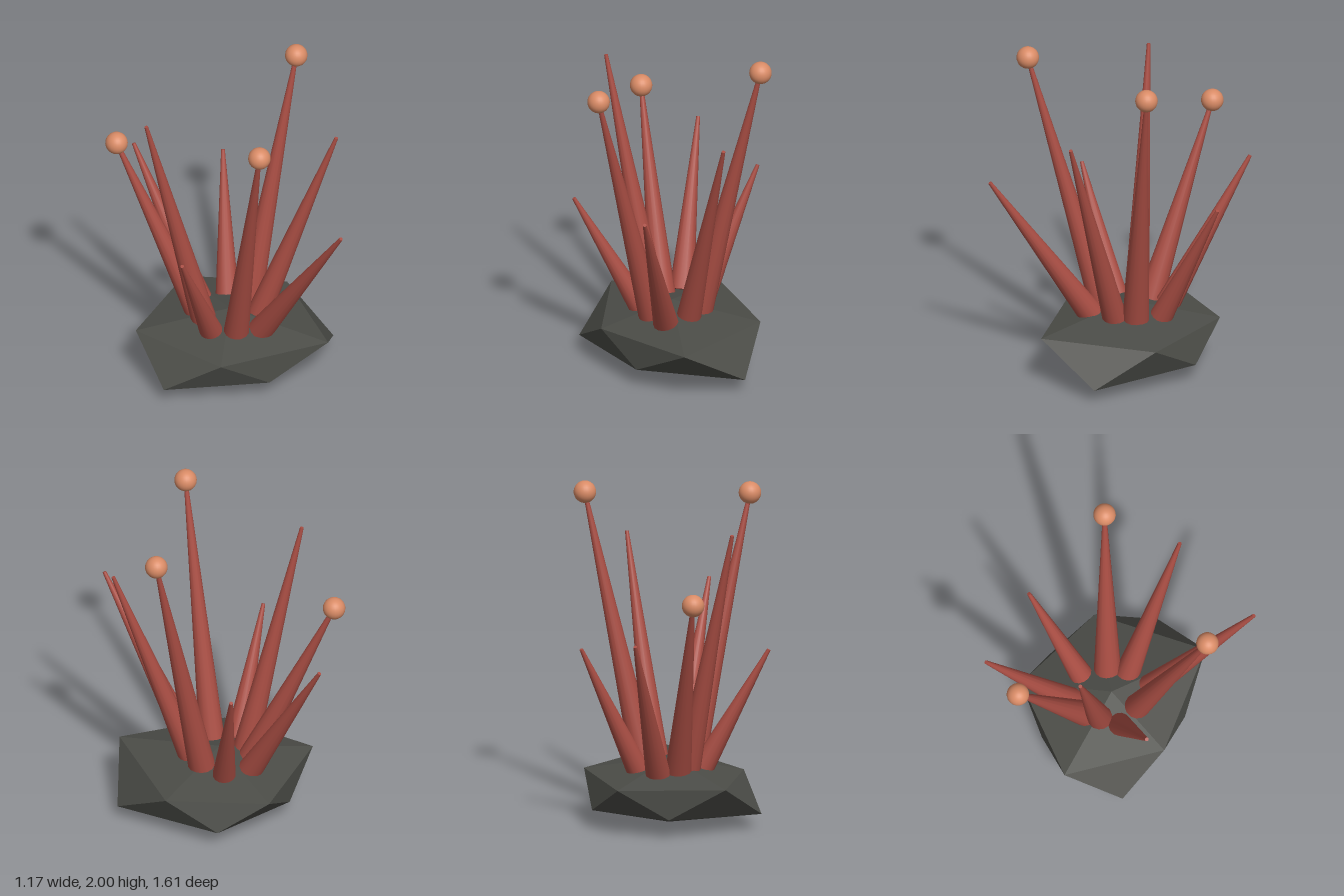
import * as THREE from 'three';

export function createModel() {
  const model = new THREE.Group();
  const stone = new THREE.MeshStandardMaterial({ color: 0x4b4c47, flatShading: true });
  stone.name = 'dark stone';
  const red = new THREE.MeshStandardMaterial({ color: 0xa84d43 });
  red.name = 'dull red';
  const orange = new THREE.MeshStandardMaterial({ color: 0xd98b66 });
  orange.name = 'soft orange';

  // Rock: squashed, uneven icosahedron (apex, upper ring, lower ring, bottom point)
  const top = [-0.02, 0.39, -0.05];
  const bottom = [-0.01, 0, -0.06];
  const upper = [[0.505, 0.29, -0.07], [0.185, 0.31, 0.535], [-0.387, 0.28, 0.205], [-0.46, 0.3, -0.395], [0.15, 0.29, -0.56]];
  const lower = [[0.495, 0.085, 0.3], [-0.14, 0.115, 0.365], [-0.58, 0.09, -0.07], [-0.14, 0.115, -0.48], [0.37, 0.11, -0.35]];
  const corners = [];
  for (let i = 0; i < 5; i++) {
    const j = (i + 1) % 5;
    corners.push(
      top, upper[j], upper[i],
      upper[i], upper[j], lower[i],
      upper[j], lower[j], lower[i],
      bottom, lower[i], lower[j],
    );
  }
  const rockGeometry = new THREE.BufferGeometry();
  rockGeometry.setAttribute('position', new THREE.Float32BufferAttribute(corners.flat(), 3));
  rockGeometry.computeVertexNormals();
  const rock = new THREE.Mesh(rockGeometry, stone);
  rock.name = 'rock';
  model.add(rock);

  // Spikes fanning out from a ring: base x, z; tip x, y, z; base radius; ball on the tip
  const spikes = [
    { base: [0.145, -0.05], tip: [0.518, 1.935, -0.01], r: 0.08, ball: true },
    { base: [0.105, 0.065], tip: [0.392, 1.61, 0.415], r: 0.073 },
    { base: [-0.005, 0.18], tip: [0.005, 1.272, 0.795], r: 0.075 },
    { base: [-0.115, 0.085], tip: [-0.344, 1.88, 0.467], r: 0.075, ball: true },
    { base: [-0.21, -0.03], tip: [-0.58, 1.045, 0.073], r: 0.068 },
    { base: [-0.15, -0.14], tip: [-0.472, 1.81, -0.303], r: 0.075 },
    { base: [-0.115, -0.215], tip: [-0.34, 1.46, -0.652], r: 0.077, ball: true },
    { base: [-0.015, -0.29], tip: [-0.03, 1.225, -0.793], r: 0.073 },
    { base: [0.135, -0.21], tip: [0.397, 1.105, -0.475], r: 0.068 },
  ];
  const ballGeometry = new THREE.SphereGeometry(0.066, 24, 16);
  const up = new THREE.Vector3(0, 1, 0);
  for (const { base, tip, r, ball } of spikes) {
    const start = new THREE.Vector3(base[0], 0.34, base[1]);
    const end = new THREE.Vector3(...tip);
    const axis = end.clone().sub(start);
    const spike = new THREE.Mesh(new THREE.CylinderGeometry(0.011, r, axis.length(), 14), red);
    spike.name = 'spike';
    spike.position.copy(start).lerp(end, 0.5);
    spike.quaternion.setFromUnitVectors(up, axis.normalize());
    model.add(spike);
    if (ball) {
      const tipBall = new THREE.Mesh(ballGeometry, orange);
      tipBall.name = 'tipBall';
      tipBall.position.copy(end);
      model.add(tipBall);
    }
  }
  return model;
}
